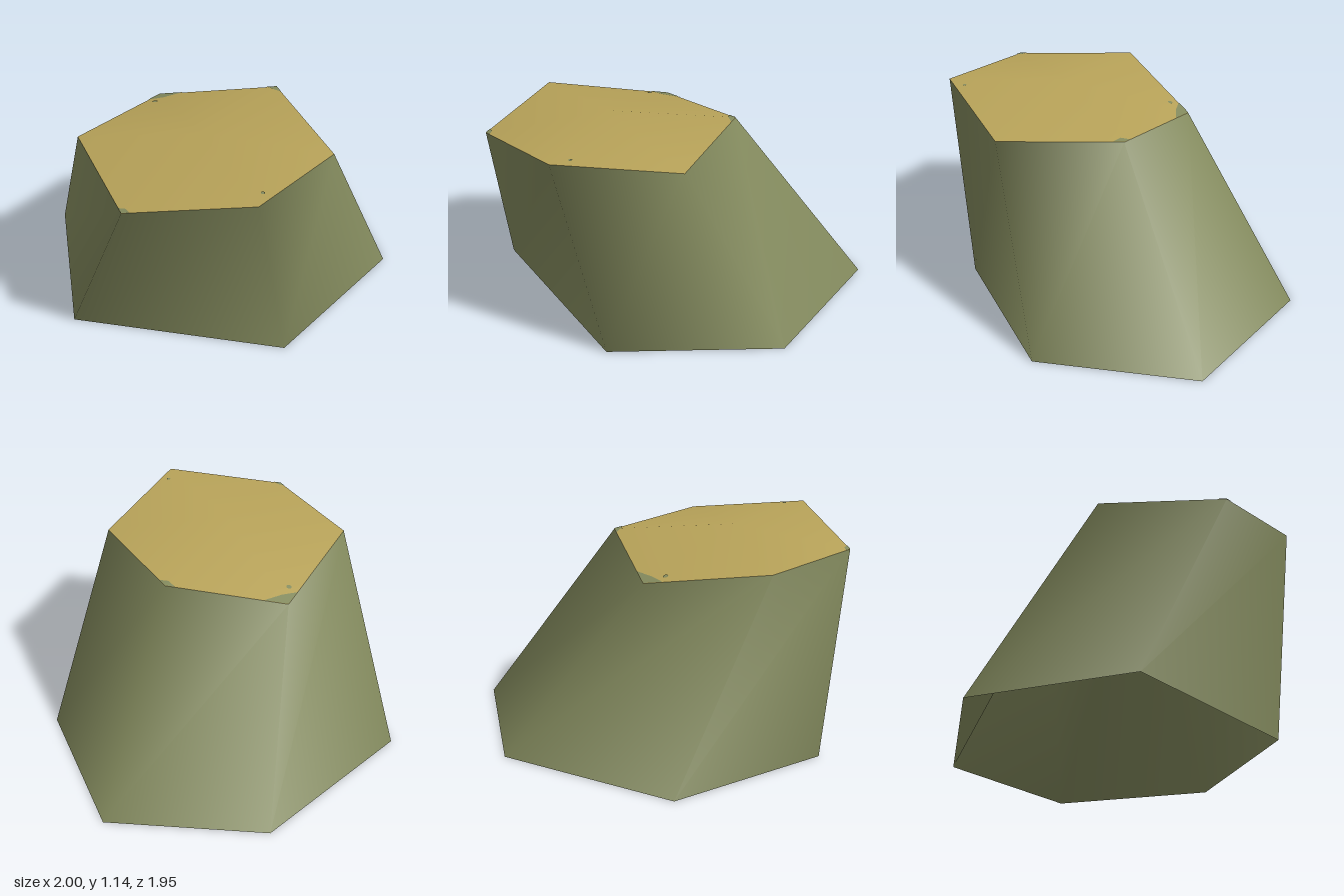
import * as THREE from 'three';

// Six corners, counter-clockwise seen from above: [x, y, z]
const foot = [[-1, 0, 0.17], [-0.04, 0, 0.875], [0.835, 0, 0.48], [1, 0, -0.425], [0.28, 0, -0.973], [-0.735, 0, -0.73]];
const rim = [[-0.84, 1.045, 0.62], [-0.27, 1.145, 0.973], [0.325, 1.063, 0.665], [0.345, 1.07, -0.015], [-0.21, 0.96, -0.38], [-0.815, 1.06, -0.055]];
const centre = [-0.26, 1.145, 0.31];

const bark = new THREE.MeshStandardMaterial({ color: 0x848b5e, side: THREE.DoubleSide });
bark.name = 'mossy bark';
const wood = new THREE.MeshStandardMaterial({ color: 0xb8a359, side: THREE.DoubleSide });
wood.name = 'cut wood';

function surface(name, points, index, material) {
  const geo = new THREE.BufferGeometry();
  geo.setAttribute('position', new THREE.Float32BufferAttribute(points.flat(), 3));
  geo.setIndex(index);
  geo.computeVertexNormals();
  const mesh = new THREE.Mesh(geo, material);
  mesh.name = name;
  return mesh;
}

// Point part of the way from a to b, lifted just above the cut face
function along(a, b, t) {
  return a.map((v, k) => v + (b[k] - v) * t + (k === 1 ? 0.003 : 0));
}

export function createModel() {
  const stump = new THREE.Group();
  stump.name = 'stump';
  const n = foot.length;

  // Leaning, hollow trunk wall, open at the bottom
  const wall = [], top = [];
  for (let i = 0; i < n; i++) {
    const j = (i + 1) % n;
    wall.push(i, j, n + j, i, n + j, n + i);
    top.push(n, i, j);
  }
  stump.add(surface('trunk', [...foot, ...rim], wall, bark));

  // Slightly domed cut face
  stump.add(surface('cutFace', [...rim, centre], top, wood));

  // Bark creeping over some corners: [corner, reach back, reach forward, reach inward]
  for (const [i, back, ahead, inward] of [[4, 0.2, 0.15, 0.1], [3, 0.09, 0.08, 0.06], [0, 0.06, 0.06, 0.05]]) {
    const c = rim[i];
    const points = [
      along(c, c, 0),
      along(c, rim[(i + 1) % n], ahead),
      along(c, centre, inward),
      along(c, rim[(i + n - 1) % n], back),
    ];
    stump.add(surface('barkCorner', points, [0, 1, 2, 0, 2, 3], bark));
  }

  // Two small moss spots lying on the cut face: [x, y, z, radius, tilt]
  for (const [x, y, z, r, tilt] of [[-0.28, 0.992, -0.28, 0.015, 0.26], [-0.2, 1.14, 0.88, 0.011, 0]]) {
    const spot = new THREE.Mesh(new THREE.CircleGeometry(r, 8), bark);
    spot.name = 'mossSpot';
    spot.rotation.x = -Math.PI / 2 - tilt;
    spot.position.set(x, y, z);
    stump.add(spot);
  }
  return stump;
}
